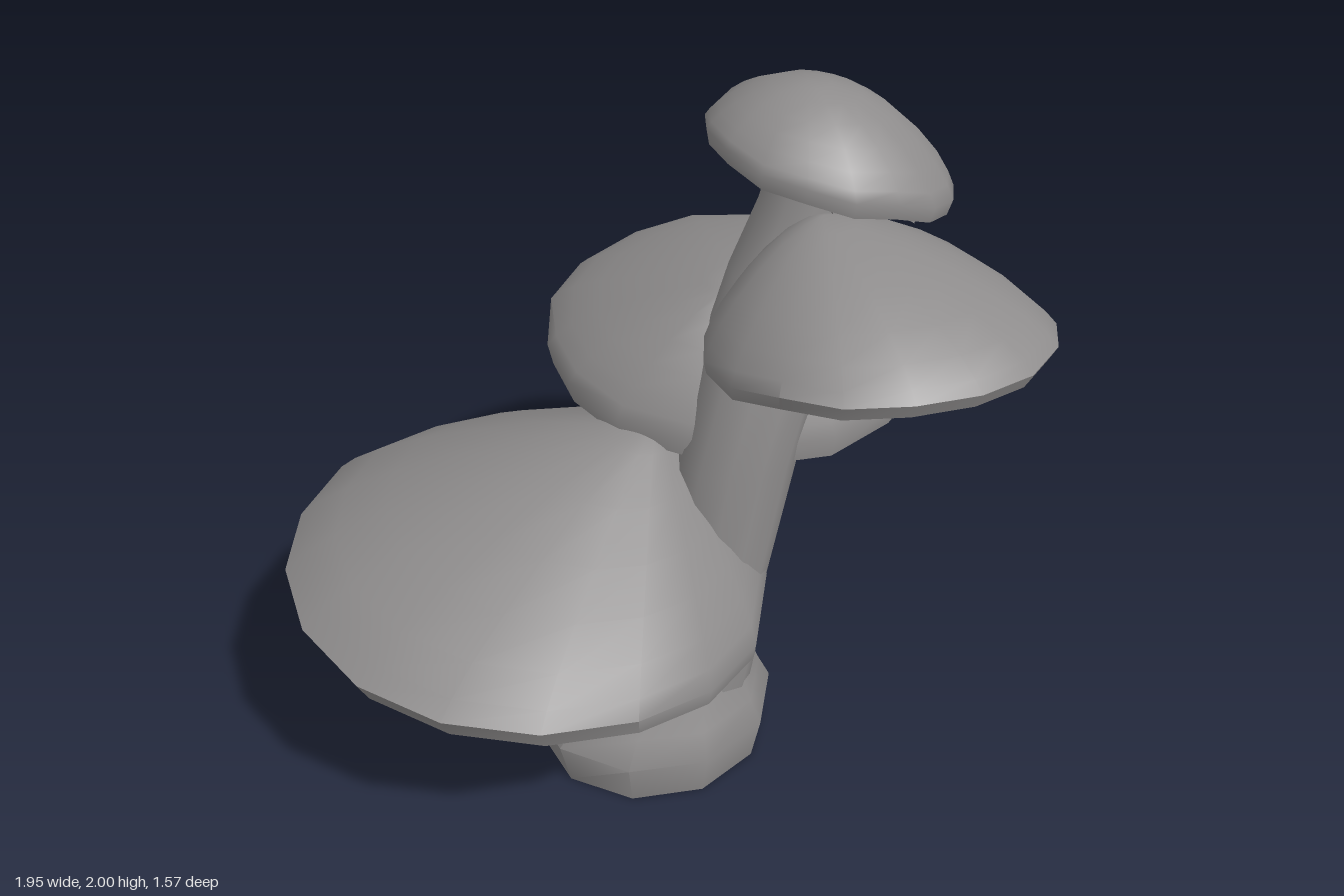
import * as THREE from 'three';
import { toCreasedNormals, mergeVertices } from 'three/addons/utils/BufferGeometryUtils.js';

const grey = new THREE.MeshStandardMaterial({ color: 0x8e8c8c });
grey.name = 'mushroom grey';
const gillGrey = grey.clone();
gillGrey.side = THREE.DoubleSide;
gillGrey.name = 'mushroom grey, thin plates';

// Small seeded generator for natural irregularity
function seeded(seed) {
  return () => {
    seed = (seed * 16807) % 2147483647;
    return seed / 2147483647;
  };
}

// Closed loops of points, from the bottom outwards and up; the first and last shrink to a point
function loft(name, rings, crease) {
  const n = rings[0].length;
  const index = [];
  for (let i = 0; i < rings.length - 1; i++) {
    for (let j = 0; j < n; j++) {
      const a = i * n + j, b = i * n + (j + 1) % n;
      if (i > 0) index.push(a, a + n, b);
      if (i < rings.length - 2) index.push(b, a + n, b + n);
    }
  }
  const g = new THREE.BufferGeometry();
  g.setAttribute('position', new THREE.Float32BufferAttribute(rings.flat(2), 3));
  g.setIndex(index);
  const mesh = new THREE.Mesh(toCreasedNormals(mergeVertices(g), crease), grey);
  mesh.name = name;
  return mesh;
}

// Stem from cross-sections [x, y, z, radiusX, radiusZ], closed at both ends
function stem(name, sections, sides = 9, turn = 0) {
  const ends = [sections[0], sections[sections.length - 1]].map(([x, y, z]) => [x, y, z, 0, 0]);
  const rings = [ends[0], ...sections, ends[1]].map(([x, y, z, rx, rz]) =>
    Array.from({ length: sides }, (_, j) => {
      const a = turn + (j / sides) * Math.PI * 2;
      return [x + rx * Math.cos(a), y, z + rz * Math.sin(a)];
    }));
  return loft(name, rings, 0.85);
}

// Lopsided cap: apex over the stem, an offset oval rim and rim heights in eight directions
function cap(name, { apex, rim, heights, hub, thick, round, fuller = 0, gills, seed }) {
  const group = new THREE.Group();
  group.name = name;
  const rand = seeded(seed);
  const [cx, cz, rx, rz] = rim;
  const sides = 17;
  const longSide = Math.atan2((cz - apex[2]) / rz, (cx - apex[0]) / rx);
  const rimY = a => {
    const u = (a / (Math.PI * 2)) * 8;
    const i = Math.floor(u), f = u - i;
    return THREE.MathUtils.lerp(heights[i % 8], heights[(i + 1) % 8], f * f * (3 - 2 * f));
  };
  // Domed top that turns down at the rim and is fuller on its long side
  const topY = (t, a) => {
    const power = round + fuller * Math.max(0, Math.cos(a - longSide));
    const drop = 0.88 * t ** power + 0.12 * t ** 12;
    return THREE.MathUtils.lerp(apex[1], rimY(a), drop);
  };
  const at = (t, a, y, k = 1) => [
    THREE.MathUtils.lerp(apex[0], cx + rx * k * Math.cos(a), t), y,
    THREE.MathUtils.lerp(apex[2], cz + rz * k * Math.sin(a), t)];
  const wobble = Array.from({ length: sides }, () => 0.995 + rand() * 0.025);
  const ring = (t, height) => Array.from({ length: sides }, (_, j) => {
    const a = (j / sides) * Math.PI * 2;
    return at(t, a, height(a), wobble[j]);
  });

  // Hollow underside, flat lip, then the top
  const rings = [
    ring(0, () => hub + 0.06),
    ring(0.4, a => THREE.MathUtils.lerp(hub + 0.06, rimY(a) - thick + 0.05, 0.5)),
    ring(0.82, a => rimY(a) - thick + 0.045),
    ring(0.85, a => rimY(a) - thick + 0.012),
    ring(0.97, a => rimY(a) - thick)];
  for (const t of [1, 0.95, 0.86, 0.72, 0.55, 0.35, 0.15, 0]) {
    rings.push(ring(t, a => topY(t, a)));
  }
  group.add(loft('capSkin', rings, 0.9));

  // Thin leaning gills fanning out from the stem
  const pos = [];
  for (let i = 0; i < gills; i++) {
    const a = ((i + rand() * 0.5) / gills) * Math.PI * 2;
    const lean = (0.4 + rand() * 0.6) * Math.PI / gills;
    const steps = [i % 2 ? 0.38 + rand() * 0.15 : 0.1, 0.6, 0.8 + rand() * 0.05];
    const edges = steps.map(t => {
      const low = THREE.MathUtils.lerp(hub, rimY(a) - thick, t / 0.85);
      const drop = 0.004 + rand() * 0.012;
      return [at(t, a, low + 0.05), at(t, a + lean, low - drop)];
    });
    for (let s = 0; s < 2; s++) {
      const [[u0, l0], [u1, l1]] = [edges[s], edges[s + 1]];
      pos.push(...u0, ...l0, ...u1, ...u1, ...l0, ...l1);
    }
  }
  const g = new THREE.BufferGeometry();
  g.setAttribute('position', new THREE.Float32BufferAttribute(pos, 3));
  g.computeVertexNormals();
  const fan = new THREE.Mesh(g, gillGrey);
  fan.name = 'gills';
  group.add(fan);
  return group;
}

export function createModel() {
  const model = new THREE.Group();
  model.name = 'mushroomCluster';

  // Swollen foot that narrows into the short stem
  model.add(stem('footAndShortStem', [
    [0.015, 0, 0.075, 0.335, 0.3],
    [0.01, 0.14, 0.065, 0.365, 0.34],
    [0.02, 0.22, 0.075, 0.315, 0.295],
    [0.04, 0.34, 0.09, 0.245, 0.225],
    [0.06, 0.6, 0.055, 0.175, 0.17],
    [0.06, 0.86, 0.04, 0.15, 0.14]], 10, 0.2));

  // Tall leaning stem and its side branch
  model.add(stem('tallStem', [
    [0.12, 0.15, 0.15, 0.14, 0.15],
    [0.145, 0.34, 0.15, 0.145, 0.155],
    [0.165, 0.6, 0.14, 0.15, 0.15],
    [0.23, 1, 0.135, 0.165, 0.15],
    [0.33, 1.36, 0.1, 0.165, 0.16],
    [0.38, 1.5, 0.07, 0.155, 0.145],
    [0.45, 1.67, 0.06, 0.145, 0.135],
    [0.49, 1.88, 0.06, 0.125, 0.13]], 12));
  model.add(stem('branchStem', [
    [0.26, 1, 0.15, 0.12, 0.1],
    [0.38, 1.52, 0.17, 0.13, 0.1]]));

  // Rim heights run from +x through +z, -x and -z
  model.add(cap('largeLowCap', {
    apex: [0.04, 1.07, 0.01], rim: [-0.325, -0.02, 0.655, 0.7],
    heights: [0.67, 0.59, 0.68, 0.7, 0.72, 0.71, 0.66, 0.67],
    hub: 0.7, thick: 0.06, round: 1.15, fuller: 0.3, gills: 76, seed: 11 }));
  model.add(cap('rearCap', {
    apex: [0.27, 1.43, -0.01], rim: [0.415, -0.27, 0.56, 0.515],
    heights: [1.15, 1.1, 1.05, 1.08, 1.12, 1.18, 1.22, 1.21],
    hub: 1.16, thick: 0.06, round: 1.4, fuller: 0.2, gills: 68, seed: 23 }));
  model.add(cap('frontCap', {
    apex: [0.4, 1.7, 0.2], rim: [0.49, 0.36, 0.435, 0.415],
    heights: [1.44, 1.49, 1.5, 1.48, 1.41, 1.38, 1.39, 1.42],
    hub: 1.45, thick: 0.04, round: 1.7, gills: 56, seed: 37 }));
  model.add(cap('topCap', {
    apex: [0.4, 2, 0.08], rim: [0.485, 0.055, 0.312, 0.322],
    heights: [1.69, 1.72, 1.79, 1.84, 1.88, 1.86, 1.79, 1.72],
    hub: 1.8, thick: 0.04, round: 2, gills: 44, seed: 51 }));

  return model;
}
